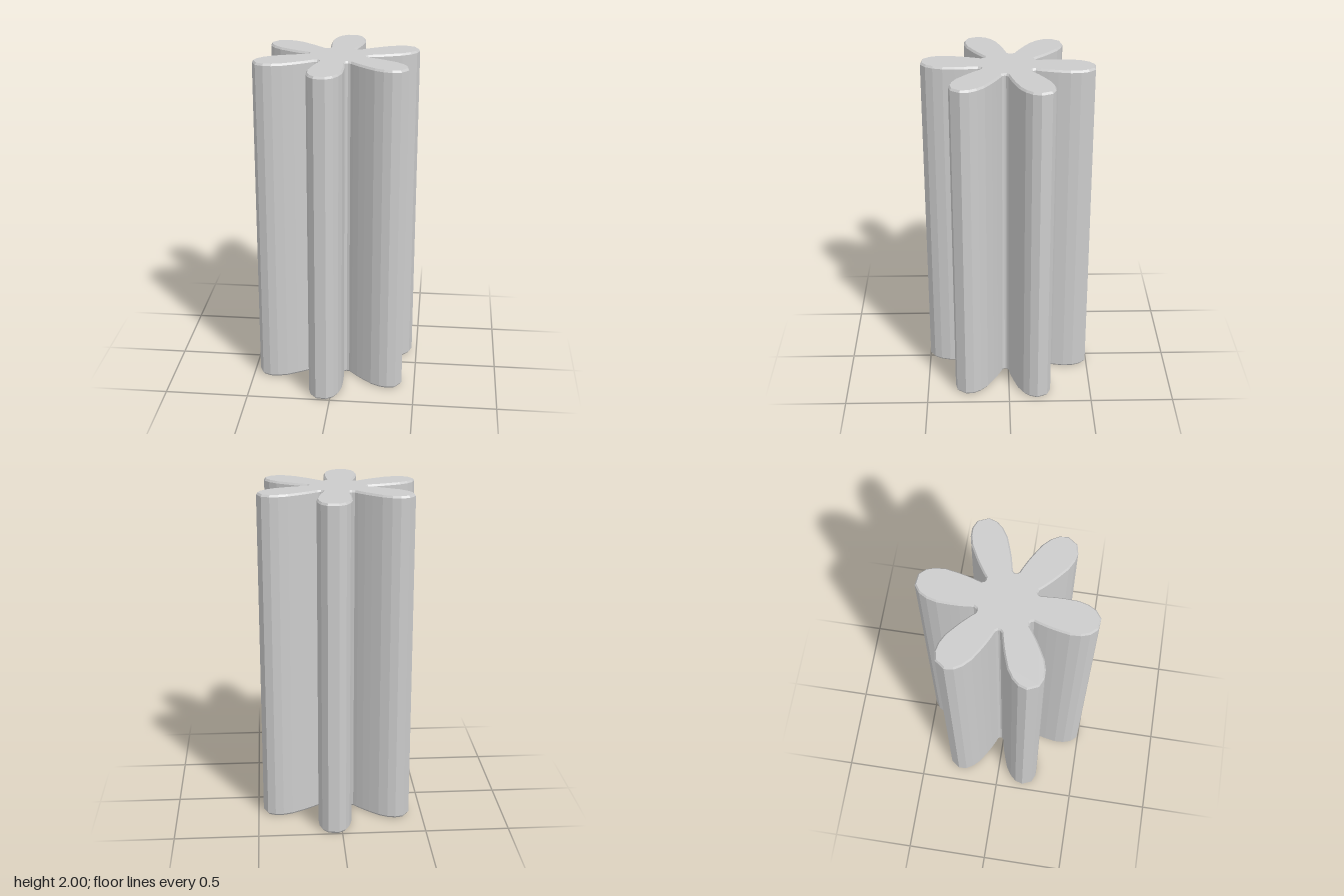
import * as THREE from 'three';

const HEIGHT = 2;
const BEVEL = 0.012;
const PETALS = 6;
const FIRST_ANGLE = THREE.MathUtils.degToRad(24);

// Half a petal from notch to tip: [distance along its axis, half width]
const HALF_PETAL = [
  [0.149, 0.08], [0.164, 0.074], [0.19, 0.08], [0.24, 0.089], [0.292, 0.095],
  [0.362, 0.1], [0.42, 0.091], [0.465, 0.071], [0.499, 0.033],
];

function flowerShape() {
  const petal = [
    ...HALF_PETAL.map(([a, w]) => new THREE.Vector2(a, -w)),
    ...HALF_PETAL.map(([a, w]) => new THREE.Vector2(a, w)).reverse(),
  ];
  const points = [];
  const centre = new THREE.Vector2();
  for (let i = 0; i < PETALS; i++) {
    const angle = FIRST_ANGLE + (i * Math.PI * 2) / PETALS;
    for (const p of petal) points.push(p.clone().rotateAround(centre, angle));
  }
  return new THREE.Shape(points);
}

export function createModel() {
  const group = new THREE.Group();
  group.name = 'flowerColumn';

  // Six-petalled prism with a fine chamfer on the top and bottom rims
  const geometry = new THREE.ExtrudeGeometry(flowerShape(), {
    depth: HEIGHT - 2 * BEVEL,
    bevelEnabled: true,
    bevelThickness: BEVEL,
    bevelSize: BEVEL * 0.7,
    bevelOffset: -BEVEL * 0.7,
    bevelSegments: 1,
  });
  geometry.rotateX(-Math.PI / 2);
  geometry.translate(0, BEVEL, 0);

  const column = new THREE.Mesh(
    geometry,
    new THREE.MeshStandardMaterial({ color: 0xcccccc, flatShading: true })
  );
  column.name = 'petalColumn';
  group.add(column);
  return group;
}
